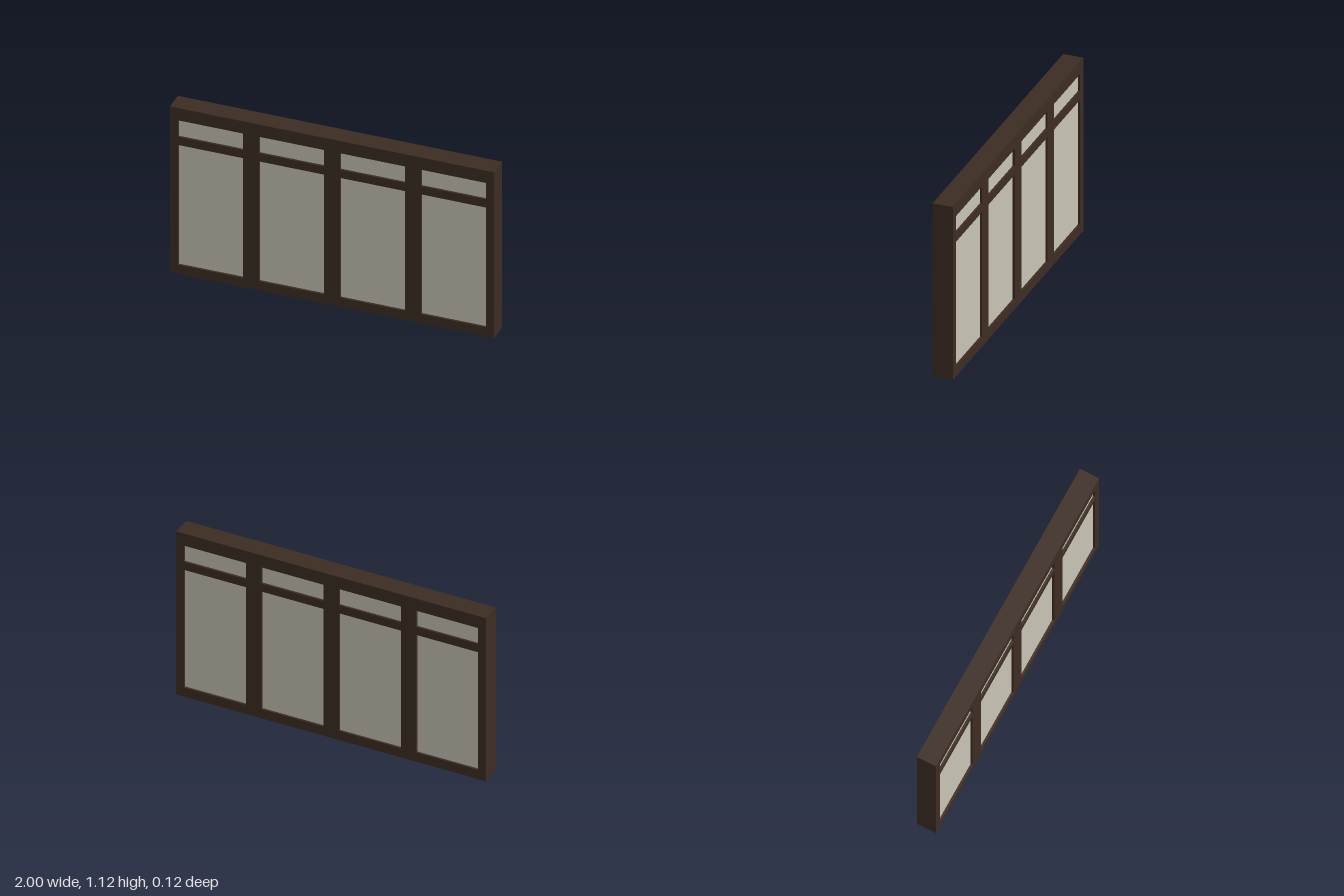
import * as THREE from 'three';

const W = 2, H = 1.125, D = 0.125; // overall size
const PANE_W = 0.4, PITCH = 0.5, RECESS = 0.0135;
const ROWS = [[0.0625, 0.875], [0.93, 1.042]]; // bottom and top of each row of panes

// Rectangle outline, shared by the frame and its openings
function rect(target, x0, y0, x1, y1) {
  target.moveTo(x0, y0);
  target.lineTo(x1, y0);
  target.lineTo(x1, y1);
  target.lineTo(x0, y1);
  target.closePath();
  return target;
}

export function createModel() {
  const model = new THREE.Group();
  model.name = 'panelledWindow';
  const wood = new THREE.MeshStandardMaterial({ color: 0x3d2d23 });
  wood.name = 'dark wood';
  const paper = new THREE.MeshStandardMaterial({ color: 0xc8c4b5 });
  paper.name = 'pale pane';

  const outline = rect(new THREE.Shape(), -W / 2, 0, W / 2, H);
  const panes = new THREE.Group();
  panes.name = 'panes';

  // Four bays, each with a tall lower pane and a short upper pane
  for (let i = 0; i < 4; i++) {
    const x = (i - 1.5) * PITCH;
    ROWS.forEach(([y0, y1], row) => {
      outline.holes.push(rect(new THREE.Path(), x - PANE_W / 2, y0, x + PANE_W / 2, y1));
      const pane = new THREE.Mesh(new THREE.BoxGeometry(PANE_W, y1 - y0, D - 2 * RECESS), paper);
      pane.name = row === 0 ? 'lowerPane' : 'upperPane';
      pane.position.set(x, (y0 + y1) / 2, 0);
      panes.add(pane);
    });
  }

  // Frame with rails, posts and transom bars in one piece
  const geometry = new THREE.ExtrudeGeometry(outline, { depth: D, bevelEnabled: false });
  geometry.translate(0, 0, -D / 2);
  const frame = new THREE.Mesh(geometry, wood);
  frame.name = 'frame';

  model.add(frame, panes);
  return model;
}
